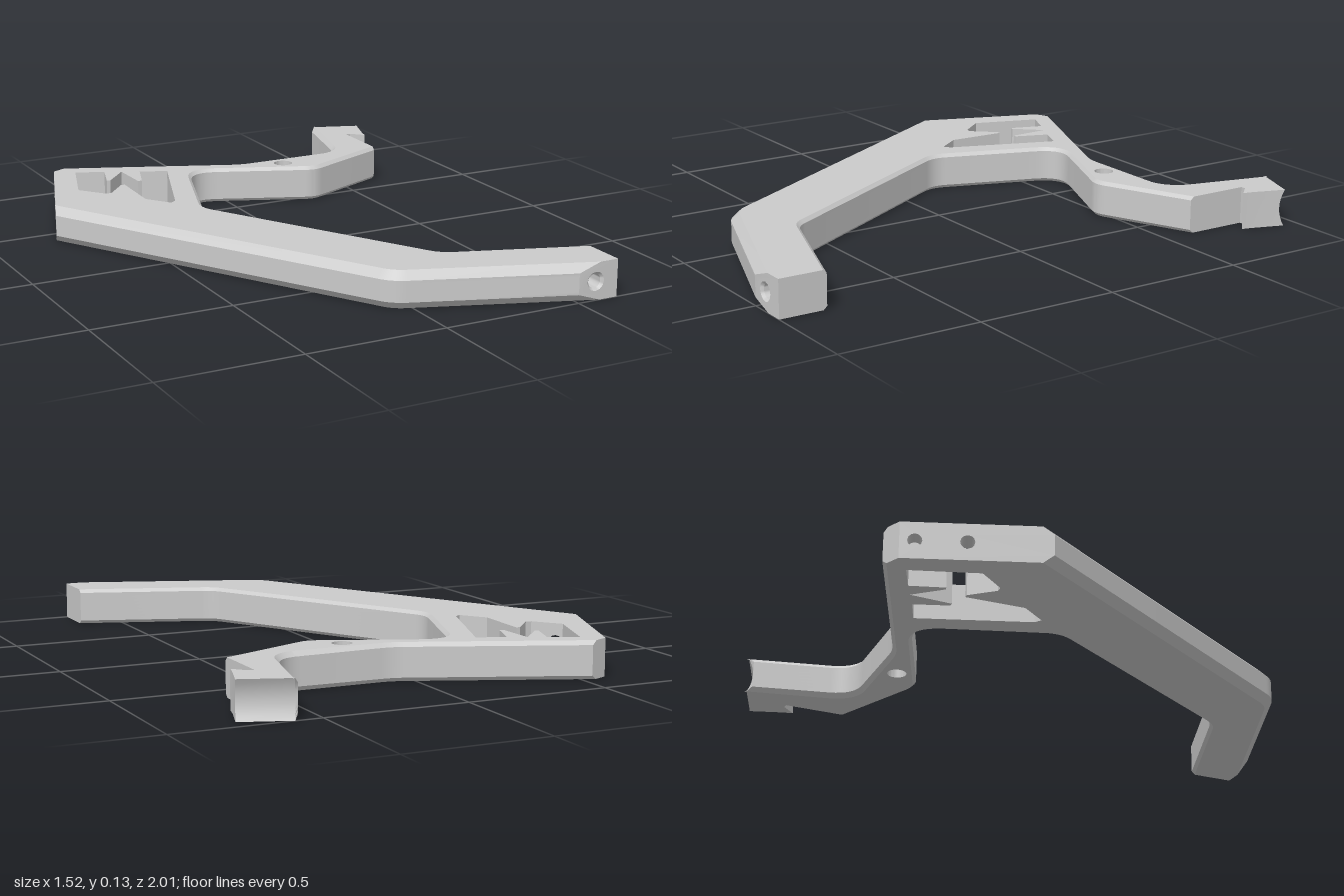
import * as THREE from 'three';
import { toCreasedNormals } from 'three/addons/utils/BufferGeometryUtils.js';

const H = 0.13; // plate thickness
const V = (x, y, z) => new THREE.Vector3(x, y, z);

// Corner rows: x, z, fillet length, chamfer of the edge that follows, options of that edge.
// bores: [position along edge, radius, depth, countersink radius, blind]
const OUTLINE = [
  [-0.765, -0.39, 0, 0, { bores: [[0.56, 0.024, 0.086, 0.024, false], [0.9, 0.024, 0.06, 0.024, true]] }],
  [-0.597, -0.85, 0, 0],
  [-0.53, -0.88, 0, 0.014],
  [0.075, -0.628, 0.04, 0.014],
  [0.493, -0.628, 0.09, 0.016],
  [0.577, -0.985, 0, 0],
  [0.592, -1.0, 0, 0, { dent: 0.018 }],
  [0.76, -0.94, 0, 0],
  [0.722, -0.825, 0, 0],
  [0.714, -0.79, 0, 0],
  [0.672, -0.835, 0, 0],
  [0.653, -0.835, 0, 0],
  [0.653, -0.607, 0, 0.012],
  [0.31, -0.455, 0.04, 0.012],
  [-0.135, -0.64, 0.11, 0.012],
  [-0.295, -0.165, 0.05, 0.012],
  [0.18, 0.668, 0.04, 0.012],
  [0.65, 0.832, 0, 0],
  [0.65, 1.0, 0, 0, { bores: [[0.57, 0.024, 0.08, 0.033, true]] }],
  [0.5, 1.0, 0, 0.028],
  [-0.077, 0.79, 0.05, 0.028],
];

// Toothed window, listed with the material on the right-hand side
const WINDOW = [
  [-0.53, -0.8], [-0.43, -0.757], [-0.468, -0.64], [-0.455, -0.637], [-0.372, -0.73],
  [-0.367, -0.582], [-0.352, -0.582], [-0.31, -0.7], [-0.215, -0.66], [-0.352, -0.28],
  [-0.375, -0.265], [-0.437, -0.35], [-0.43, -0.56], [-0.445, -0.56], [-0.515, -0.48],
  [-0.537, -0.48], [-0.608, -0.57],
].reverse().map(([x, z]) => [x, z, 0, 0]);
// the side bore breaks through the wall that faces it
WINDOW[WINDOW.length - 1][4] = null;
WINDOW[0][4] = { bores: [[0.22, 0.024, 0]] };

const PIN_HOLE = Array.from({ length: 32 }, (_, i) => {
  const a = (i / 32) * Math.PI * 2;
  return [0.225 + 0.034 * Math.cos(a), -0.56 - 0.034 * Math.sin(a), 0, 0];
}).reverse();
PIN_HOLE.reverse();

// Replace filleted corners with a short curve
function roundCorners(rows) {
  return rows.flatMap(([x, z, r, b, opt], i) => {
    const p = new THREE.Vector2(x, z);
    if (!r) return [{ p, b, opt }];
    const toward = (row) => new THREE.Vector2(row[0], row[1]).sub(p).setLength(r).add(p);
    const from = toward(rows[(i + rows.length - 1) % rows.length]);
    const to = toward(rows[(i + 1) % rows.length]);
    return new THREE.QuadraticBezierCurve(from, p, to).getPoints(8).map((q) => ({ p: q, b }));
  });
}

// Add edge directions, inward normals, chamfer heights and inset points
function prepare(rows) {
  const ring = roundCorners(rows);
  const n = ring.length;
  ring.forEach((c, i) => {
    c.next = ring[(i + 1) % n];
    c.prev = ring[(i + n - 1) % n];
    c.d = c.next.p.clone().sub(c.p).normalize();
    c.n = new THREE.Vector2(-c.d.y, c.d.x);
  });
  ring.forEach((c) => {
    const a = c.prev;
    c.h = Math.max(a.b, c.b);
    const det = a.n.x * c.n.y - a.n.y * c.n.x;
    c.q = Math.abs(det) < 1e-3
      ? c.p.clone().addScaledVector(c.n, c.b)
      : new THREE.Vector2((a.b * c.n.y - c.b * a.n.y) / det, (c.b * a.n.x - a.b * c.n.x) / det).add(c.p);
    c.dent = new THREE.Vector2();
    for (const e of [a, c]) if (e.opt?.dent) c.dent.addScaledVector(e.n, e.opt.dent);
  });
  return ring;
}

function circlePath(x, y, r) {
  return new THREE.Path().absarc(x, y, r, 0, Math.PI * 2, true);
}

export function createModel() {
  const group = new THREE.Group();
  const material = new THREE.MeshStandardMaterial({ color: 0xcccccc });
  const liner = new THREE.MeshStandardMaterial({ color: 0xcccccc, side: THREE.DoubleSide });
  const pos = [];

  const tri = (a, b, c) => {
    if (b.clone().sub(a).cross(c.clone().sub(a)).length() < 1e-9) return;
    for (const v of [a, b, c]) pos.push(v.x, v.y, v.z);
  };
  const quad = (a, b, c, d) => { tri(a, b, c); tri(a, c, d); };
  const addGeometry = (g) => {
    for (const v of g.toNonIndexed().attributes.position.array) pos.push(v);
  };

  // Round bore running inward from a wall
  function addBore(origin, dir, [, r, depth, sink, blind]) {
    const bore = new THREE.Group();
    bore.name = 'screwBore';
    const lip = sink - r;
    const profile = [[sink, 0], [r, lip], [r, depth]];
    if (blind) profile.push([0, depth]);
    const pts = profile.map(([x, y]) => new THREE.Vector2(x, y));
    const g = toCreasedNormals(new THREE.LatheGeometry(pts, 24), 0.6);
    const mesh = new THREE.Mesh(g, liner);
    mesh.name = 'boreWall';
    bore.add(mesh);
    bore.position.copy(origin);
    bore.quaternion.setFromUnitVectors(V(0, 1, 0), dir);
    group.add(bore);
  }

  // Flat wall with round openings
  function addBoredWall(c) {
    const e = c.next;
    const len = c.p.distanceTo(e.p);
    const s = new THREE.Shape([[0, e.h], [len, c.h], [len, H - c.h], [0, H - e.h]]
      .map(([x, y]) => new THREE.Vector2(x, y)));
    const inward = V(c.n.x, 0, c.n.y);
    for (const bore of c.opt.bores) {
      const [t, r, depth, sink = r] = bore;
      s.holes.push(circlePath(len * (1 - t), H / 2, sink));
      const at = c.p.clone().lerp(e.p, t);
      if (depth) addBore(V(at.x, H / 2, at.y), inward, bore);
    }
    const m = new THREE.Matrix4().makeBasis(V(-c.d.x, 0, -c.d.y), V(0, 1, 0), inward.negate());
    m.setPosition(e.p.x, 0, e.p.y);
    addGeometry(new THREE.ShapeGeometry(s, 6).applyMatrix4(m));
  }

  // Walls and chamfers around one closed loop
  function addSides(ring) {
    const STEPS = 8;
    const wall = (c, k) => {
      const s = (k / STEPS) * 2 - 1;
      const p = c.p.clone().addScaledVector(c.dent, 1 - s * s);
      return V(p.x, c.h + (H - 2 * c.h) * (k / STEPS), p.y);
    };
    for (const c of ring) {
      const e = c.next;
      if (c.opt?.bores) addBoredWall(c);
      else for (let k = 0; k < STEPS; k++) quad(wall(e, k), wall(c, k), wall(c, k + 1), wall(e, k + 1));
      quad(wall(e, STEPS), wall(c, STEPS), V(c.q.x, H, c.q.y), V(e.q.x, H, e.q.y));
      quad(V(e.q.x, 0, e.q.y), V(c.q.x, 0, c.q.y), wall(c, 0), wall(e, 0));
    }
  }

  const rings = [OUTLINE, WINDOW, PIN_HOLE].map(prepare);
  rings.forEach(addSides);

  // Top and bottom faces
  for (const side of [1, -1]) {
    const [outer, ...holes] = rings.map((ring) => ring.map((c) => new THREE.Vector2(c.q.x, -side * c.q.y)));
    const shape = new THREE.Shape(outer);
    shape.holes = holes.map((h) => new THREE.Path(h));
    const cap = new THREE.ShapeGeometry(shape).rotateX((-side * Math.PI) / 2);
    addGeometry(cap.translate(0, side > 0 ? H : 0, 0));
  }

  const geometry = new THREE.BufferGeometry();
  geometry.setAttribute('position', new THREE.Float32BufferAttribute(pos, 3));
  const frame = new THREE.Mesh(toCreasedNormals(geometry, 0.45), material);
  frame.name = 'bracketFrame';
  group.add(frame);
  return group;
}
